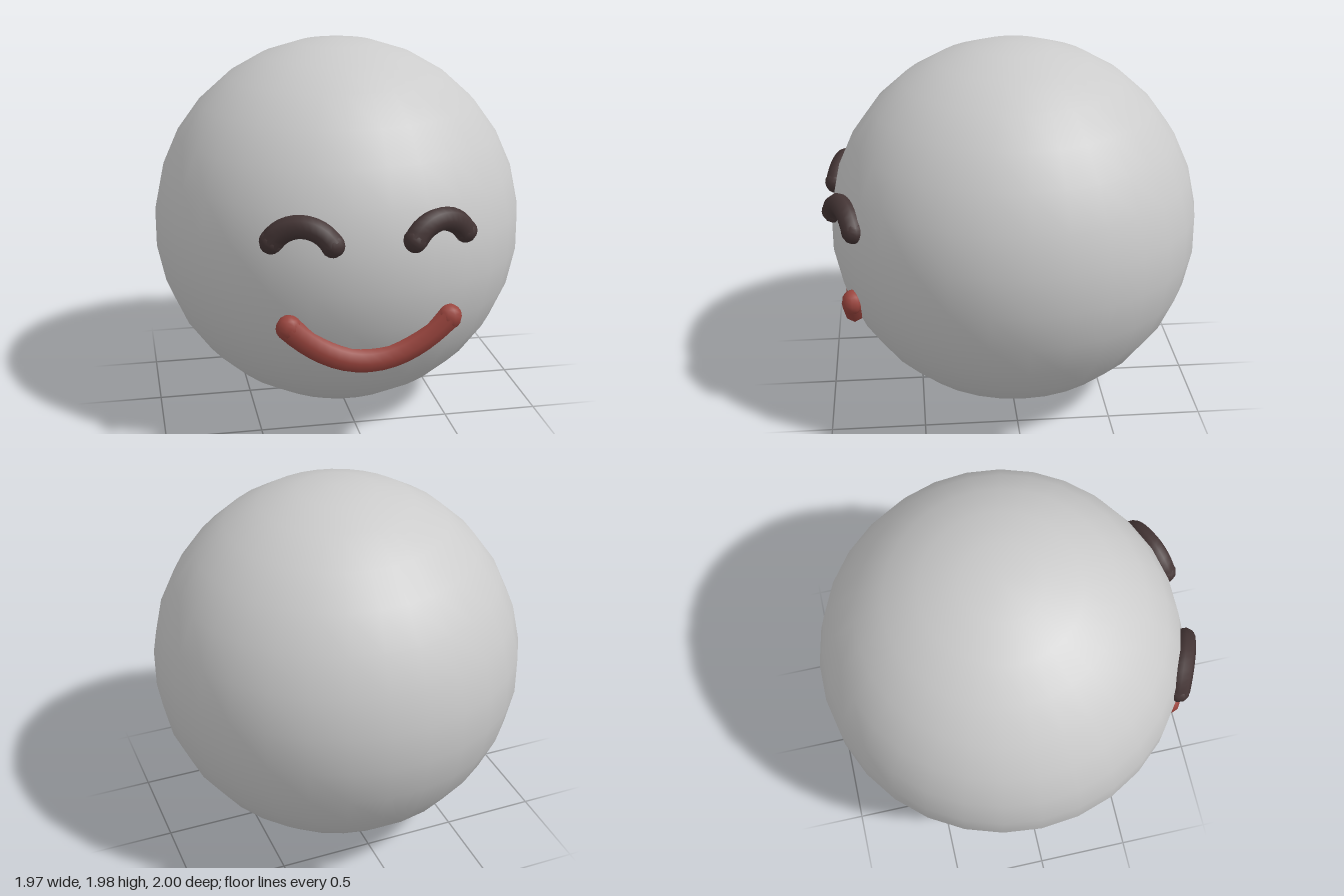
import * as THREE from 'three';

// Round-ended tube along a curve
function roundedTube(name, curve, segments, radius, color) {
  const group = new THREE.Group();
  group.name = name;
  const material = new THREE.MeshStandardMaterial({ color });
  const body = new THREE.Mesh(new THREE.TubeGeometry(curve, segments, radius, 8), material);
  body.name = name + 'Body';
  group.add(body);
  for (const t of [0, 1]) {
    const cap = new THREE.Mesh(new THREE.SphereGeometry(radius, 10, 8), material);
    cap.name = name + (t ? 'LeftEnd' : 'RightEnd');
    cap.position.copy(curve.getPoint(t));
    group.add(cap);
  }
  return group;
}

// Shallow arch, centred on x = 0 with its crown at y = 0
function archCurve(halfWidth, height) {
  const r = (halfWidth ** 2 + height ** 2) / (2 * height);
  const sweep = Math.asin(halfWidth / r);
  const points = [];
  for (let i = 0; i <= 8; i++) {
    const a = sweep * (i / 4 - 1);
    points.push(new THREE.Vector3(r * Math.sin(a), r * Math.cos(a) - r, 0));
  }
  return new THREE.CatmullRomCurve3(points);
}

export function createModel() {
  const model = new THREE.Group();
  model.name = 'smilingBall';

  // Head
  const head = new THREE.Mesh(
    new THREE.SphereGeometry(0.99, 30, 15),
    new THREE.MeshStandardMaterial({ color: 0xcccccc })
  );
  head.name = 'head';
  head.position.set(0, 0.99, -0.021);
  model.add(head);

  // Closed, arched eyes turned to follow the head
  for (const side of [1, -1]) {
    const eye = roundedTube(side > 0 ? 'leftEye' : 'rightEye', archCurve(0.15, 0.083), 12, 0.06, 0x443535);
    eye.position.set(side * 0.34, 1.234, 0.888);
    eye.rotation.y = side * 0.375;
    model.add(eye);
  }

  // Smile, slightly flattened front to back
  const smile = new THREE.QuadraticBezierCurve3(
    new THREE.Vector3(-0.402, 0.715, 0),
    new THREE.Vector3(0, 0.313, 0),
    new THREE.Vector3(0.402, 0.715, 0)
  );
  const mouth = roundedTube('mouth', smile, 16, 0.066, 0x99443d);
  mouth.position.z = 0.86;
  mouth.scale.z = 0.85;
  model.add(mouth);

  return model;
}
